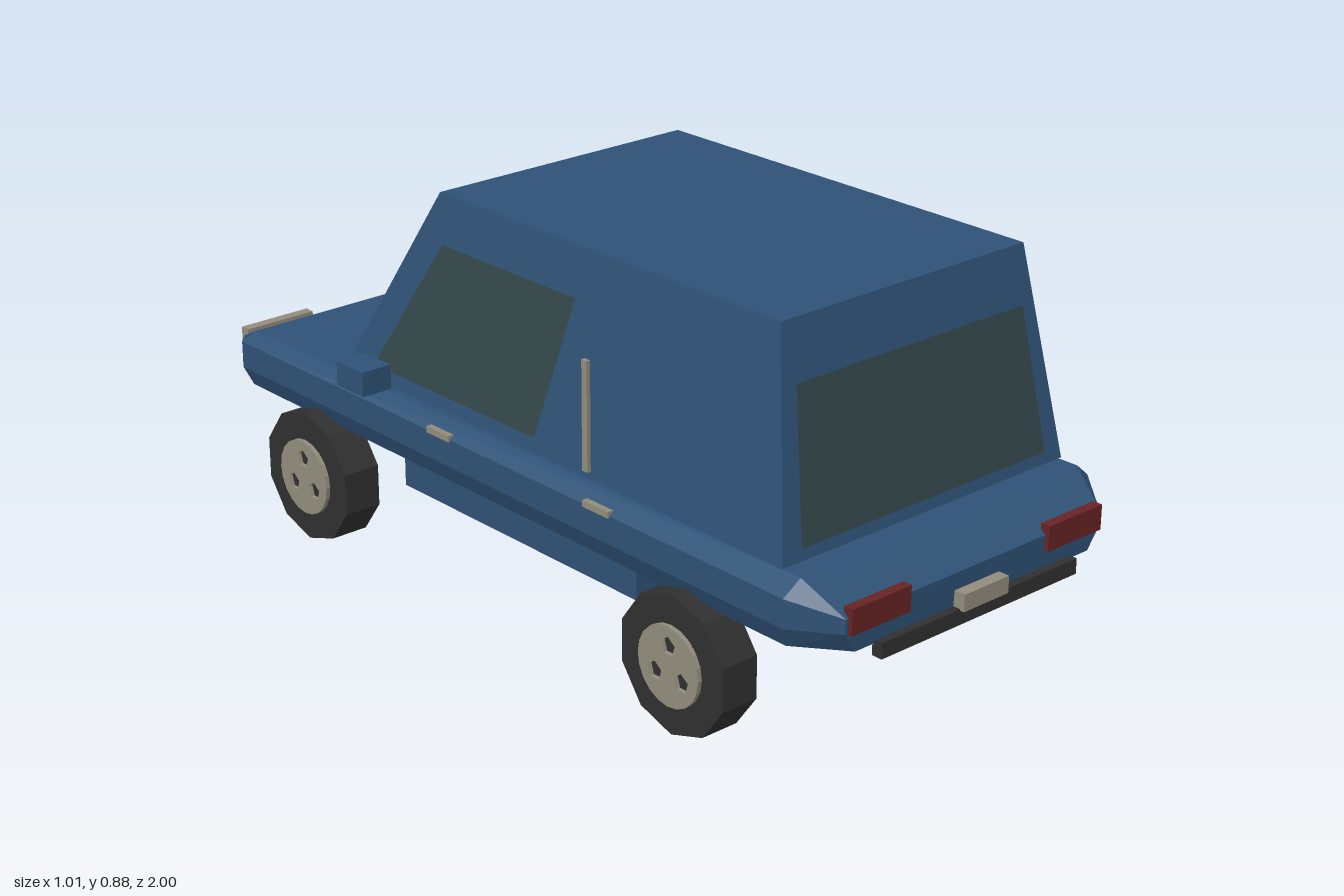
import * as THREE from 'three';

const mat = (name, color) => Object.assign(new THREE.MeshStandardMaterial({ color, flatShading: true }), { name });

export function createModel() {
  const car = new THREE.Group();
  car.name = 'car';
  const paint = mat('blue paint', 0x2f5276);
  const glass = mat('dark glass', 0x34484a);
  const rubber = mat('black rubber', 0x303030);
  const trim = mat('pale trim', 0x918c7c);
  const red = mat('red lamp', 0x662424);

  const add = (name, geometry, material) => {
    const mesh = new THREE.Mesh(geometry, material);
    mesh.name = name;
    car.add(mesh);
    return mesh;
  };
  // box given by its limits on each axis
  const box = (name, material, [x0, x1], [y0, y1], [z0, z1]) =>
    add(name, new THREE.BoxGeometry(x1 - x0, y1 - y0, z1 - z0)
      .translate((x0 + x1) / 2, (y0 + y1) / 2, (z0 + z1) / 2), material);
  // the same box on both sides of the car
  const pair = (name, material, [x0, x1], y, z) => {
    box(name + 'Left', material, [x0, x1], y, z);
    box(name + 'Right', material, [-x1, -x0], y, z);
  };
  // faceted geometry from a list of polygons
  const facets = (polygons) => {
    const out = [];
    for (const p of polygons) {
      for (let i = 1; i < p.length - 1; i++) {
        const t = new THREE.Triangle(...[p[0], p[i], p[i + 1]].map((q) => new THREE.Vector3(...q)));
        if (t.getArea() > 1e-8) out.push(...p[0], ...p[i], ...p[i + 1]);
      }
    }
    const g = new THREE.BufferGeometry();
    g.setAttribute('position', new THREE.Float32BufferAttribute(out, 3));
    g.computeVertexNormals();
    return g;
  };
  // closed solid through rings stacked from bottom to top
  const loft = (rings) => {
    const polygons = [[...rings[0]].reverse(), rings[rings.length - 1]];
    for (let k = 0; k < rings.length - 1; k++) {
      const a = rings[k], b = rings[k + 1], n = a.length;
      for (let i = 0; i < n; i++) {
        const j = (i + 1) % n;
        polygons.push([a[i], a[j], b[j]], [a[i], b[j], b[i]]);
      }
    }
    return facets(polygons);
  };

  // lower body: eight-cornered rings, the top one sloping down to the bonnet end
  const ring = (sideX, sideY, sideZ, endX, endY, endZ) => [
    [-endX, endY, endZ], [endX, endY, endZ], [sideX, sideY, sideZ], [sideX, sideY, -sideZ],
    [endX, endY, -endZ], [-endX, endY, -endZ], [-sideX, sideY, -sideZ], [-sideX, sideY, sideZ],
  ];
  const deck = ring(0.39, 0, 0.885, 0.39, 0, 0.885).map(([x, , z]) => [x, 0.41 + 0.011 * z, z]);
  add('lowerBody', loft([
    ring(0.41, 0.28, 0.87, 0.33, 0.28, 0.972),
    ring(0.43, 0.325, 0.88, 0.36, 0.325, 0.974),
    ring(0.43, 0.387, 0.88, 0.36, 0.357, 0.975),
    deck,
  ]), paint);
  box('underbody', paint, [-0.37, 0.37], [0.188, 0.3], [-0.355, 0.405]);

  // tapered cabin
  const y0 = 0.422, y1 = 0.876;
  const along = (a, b) => (y) => a + (b - a) * (y - y0) / (y1 - y0);
  const halfX = along(0.393, 0.333), tailZ = along(0.84, 0.762), noseZ = along(-0.528, -0.252);
  add('cabin', loft([y0, y1].map((y) => {
    const x = halfX(y);
    return [[-x, y, tailZ(y)], [x, y, tailZ(y)], [x, y, noseZ(y)], [-x, y, noseZ(y)]];
  })), paint);

  // window panes just proud of the cabin
  const gap = 0.003, low = 0.447, high = 0.755;
  add('rearWindow', facets([[
    [-0.342, low, tailZ(low) + gap], [0.342, low, tailZ(low) + gap],
    [0.313, high, tailZ(high) + gap], [-0.313, high, tailZ(high) + gap],
  ]]), glass);
  const top = 0.745;
  add('windscreen', facets([[
    [0.342, low, noseZ(low) - gap], [-0.342, low, noseZ(low) - gap],
    [-0.315, top, noseZ(top) - gap], [0.315, top, noseZ(top) - gap],
  ]]), glass);
  for (const s of [1, -1]) {
    const pane = [[0.455, 0.115], [0.455, -0.426], [0.77, -0.228], [0.77, 0.2]]
      .map(([y, z]) => [s * (halfX(y) + gap), y, z]);
    add(s > 0 ? 'sideWindowLeft' : 'sideWindowRight', facets([s > 0 ? pane : pane.reverse()]), glass);
  }

  // mirrors, upright rods and door handles
  pair('mirror', paint, [0.433, 0.507], [0.445, 0.5], [-0.402, -0.31]);
  pair('uprightRod', trim, [0.394, 0.403], [0.44, 0.678], [0.279, 0.295]);
  pair('frontHandle', trim, [0.42, 0.434], [0.383, 0.397], [-0.19, -0.115]);
  pair('rearHandle', trim, [0.42, 0.434], [0.383, 0.397], [0.314, 0.392]);

  // lamps, bumpers and blank plates
  pair('tailLamp', red, [0.195, 0.353], [0.323, 0.378], [0.962, 0.984]);
  pair('headLamp', trim, [0.178, 0.36], [0.325, 0.375], [-0.985, -0.96]);
  box('rearBumper', rubber, [-0.277, 0.277], [0.252, 0.286], [0.965, 0.99]);
  box('frontBumper', rubber, [-0.205, 0.205], [0.252, 0.286], [-0.994, -0.965]);
  box('rearPlate', trim, [-0.063, 0.063], [0.283, 0.32], [0.97, 1]);
  box('frontPlate', trim, [-0.063, 0.063], [0.283, 0.32], [-1, -0.97]);

  // ten-sided wheels with pierced hub caps
  const tyre = new THREE.CylinderGeometry(0.152, 0.152, 0.09, 10, 1, false, Math.PI / 2).rotateZ(Math.PI / 2);
  const polygon = (Type, cx, cy, r, n) => new Type(Array.from({ length: n }, (_, i) => {
    const a = Math.PI / 2 + (i / n) * Math.PI * 2;
    return new THREE.Vector2(cx + r * Math.cos(a), cy + r * Math.sin(a));
  }));
  const cap = polygon(THREE.Shape, 0, 0, 0.087, 20);
  for (let i = 0; i < 3; i++) {
    const a = Math.PI / 2 + (i / 3) * Math.PI * 2;
    cap.holes.push(polygon(THREE.Path, 0.044 * Math.cos(a), 0.044 * Math.sin(a), 0.021, 5));
  }
  const hub = new THREE.ExtrudeGeometry(cap, { depth: 0.011, bevelEnabled: false });
  for (const s of [1, -1]) {
    for (const z of [0.605, -0.605]) {
      const label = (z > 0 ? 'rear' : 'front') + (s > 0 ? 'Left' : 'Right');
      add(label + 'Tyre', tyre, rubber).position.set(s * 0.412, 0.152, z);
      const hubCap = add(label + 'HubCap', hub, trim);
      hubCap.position.set(s * 0.456, 0.152, z);
      hubCap.rotation.y = s * Math.PI / 2;
    }
  }
  return car;
}
